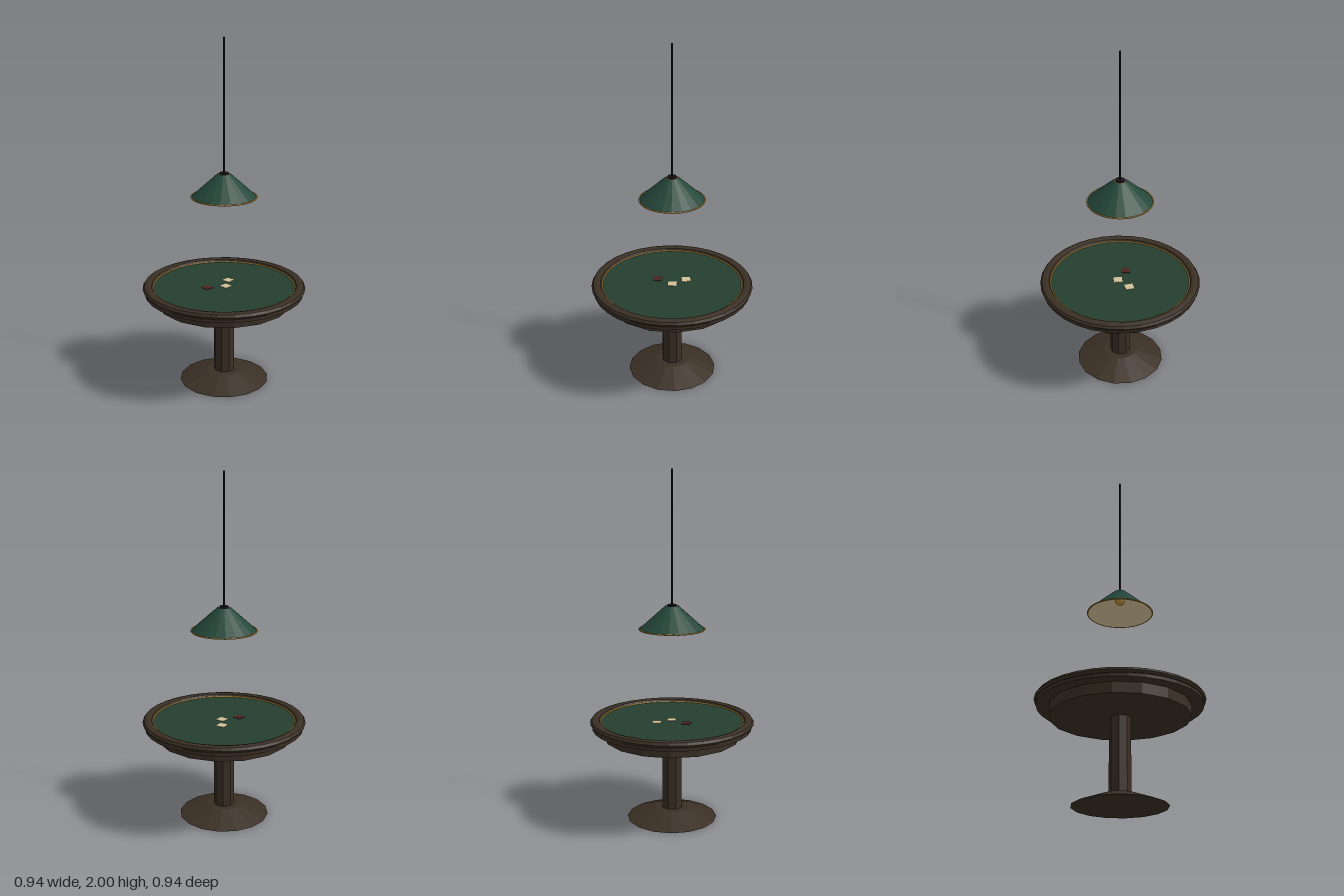
import * as THREE from 'three';

const mat = (name, color, side = THREE.FrontSide) => {
  const m = new THREE.MeshStandardMaterial({ color, flatShading: true, side });
  m.name = name;
  return m;
};

export function createModel() {
  const wood = mat('dark wood', 0x3a2f24);
  const felt = mat('green felt', 0x243f30);
  const shadeGreen = mat('shade green', 0x24473a);
  const cream = mat('cream', 0xd2c198);
  const brass = mat('brass', 0xb98f3c);
  const black = mat('cord black', 0x17141e);
  const red = mat('dark red', 0x4a2420);

  const model = new THREE.Group();
  model.name = 'cardTableWithLamp';
  const table = new THREE.Group();
  table.name = 'table';
  const lamp = new THREE.Group();
  lamp.name = 'hangingLamp';
  model.add(table, lamp);

  const add = (parent, name, geometry, material, y = 0) => {
    const mesh = new THREE.Mesh(geometry, material);
    mesh.name = name;
    mesh.position.y = y;
    parent.add(mesh);
    return mesh;
  };
  // Upright drum given by its bottom and top heights
  const drum = (parent, name, rBottom, rTop, y0, y1, sides, material) =>
    add(parent, name, new THREE.CylinderGeometry(rTop, rBottom, y1 - y0, sides), material, (y0 + y1) / 2);
  // Flat-lying ring; squash flattens its section
  const ring = (parent, name, radius, tube, y, sides, material, section = 6, squash = 1) => {
    const g = new THREE.TorusGeometry(radius, tube, section, sides).rotateX(-Math.PI / 2);
    return add(parent, name, g.scale(1, squash, 1), material, y);
  };

  // Table foot, column, apron and top
  drum(table, 'foot', 0.26, 0.1, 0, 0.06, 16, wood);
  drum(table, 'column', 0.06, 0.06, 0.06, 0.5, 8, wood);
  drum(table, 'apron', 0.39, 0.39, 0.485, 0.55, 16, wood);
  drum(table, 'tableTop', 0.458, 0.458, 0.545, 0.574, 32, wood);
  ring(table, 'paddedRim', 0.44, 0.03, 0.579, 32, wood, 8, 0.67);
  drum(table, 'feltSurface', 0.412, 0.412, 0.572, 0.58, 32, felt);
  ring(table, 'brassInlay', 0.41, 0.005, 0.581, 32, brass);

  // Playing cards: x, z, turn, material
  const cards = [
    [0.006, 0.012, 0.25, cream],
    [0.066, -0.064, 0.38, cream],
    [-0.097, -0.02, 0.2, red],
  ];
  for (const [x, z, turn, material] of cards) {
    const card = add(table, 'card', new THREE.BoxGeometry(0.05, 0.003, 0.05), material, 0.5815);
    card.position.x = x;
    card.position.z = z;
    card.rotation.y = turn;
  }

  // Open lamp shade with a cream lining just inside it
  const cone = (r0, r1) => new THREE.CylinderGeometry(r1, r0, 0.135, 20, 1, true);
  add(lamp, 'shade', cone(0.185, 0.036), shadeGreen, 1.1825);
  const lining = cone(0.183, 0.034);
  const index = lining.index.array;
  for (let i = 0; i < index.length; i += 3) [index[i], index[i + 1]] = [index[i + 1], index[i]];
  lining.computeVertexNormals();
  add(lamp, 'shadeLining', lining, cream, 1.1815);
  ring(lamp, 'shadeTrim', 0.185, 0.004, 1.116, 40, brass);
  ring(lamp, 'collar', 0.03, 0.004, 1.245, 20, brass);

  // Bulb, cap and cord
  add(lamp, 'bulb', new THREE.SphereGeometry(0.028, 12, 8), brass, 1.197);
  drum(lamp, 'cap', 0.026, 0.026, 1.21, 1.256, 12, black);
  drum(lamp, 'cord', 0.005, 0.005, 1.25, 2, 8, black);

  return model;
}
